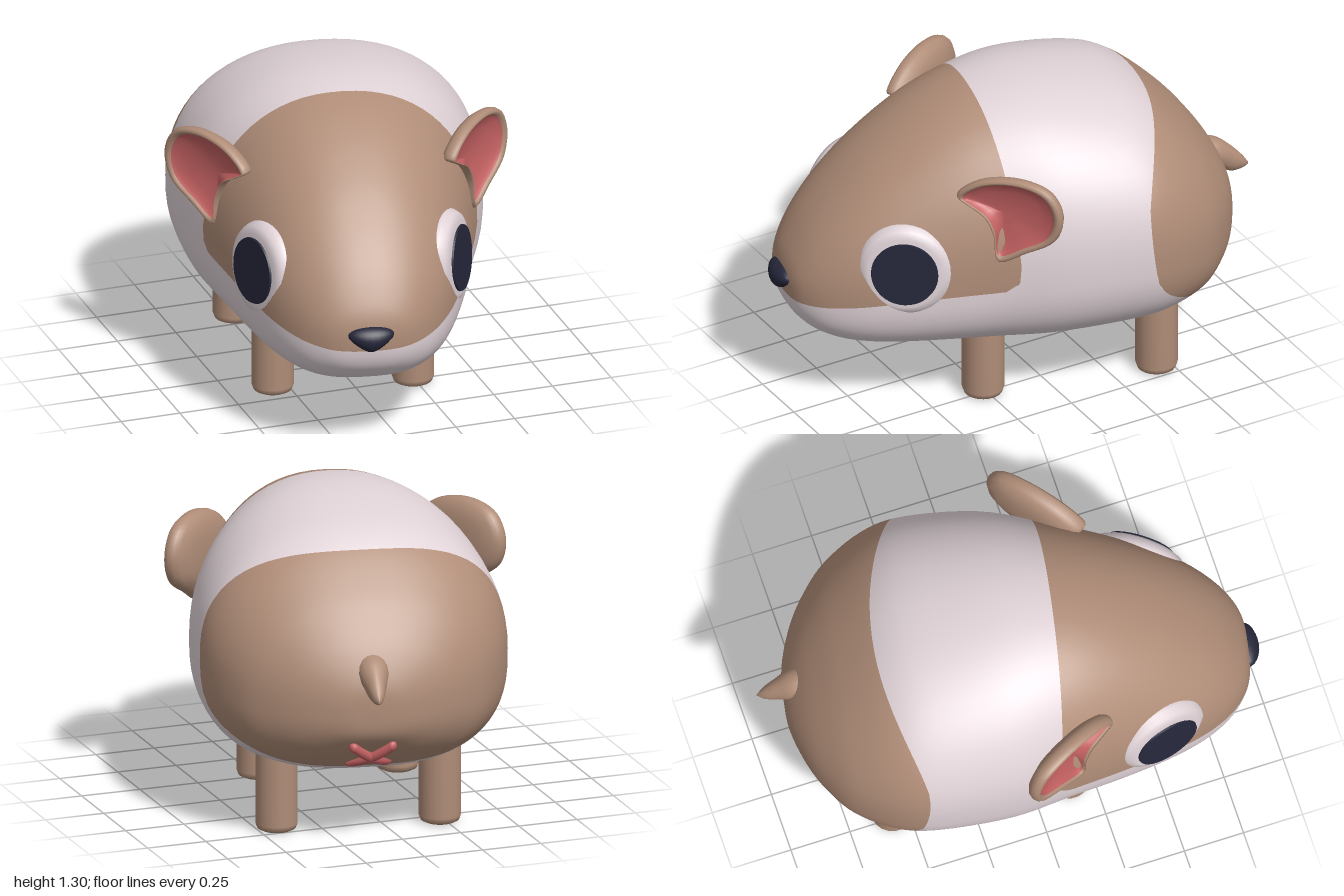
import * as THREE from 'three';
import { mergeVertices } from 'three/addons/utils/BufferGeometryUtils.js';

const mat = (name, color) => Object.assign(new THREE.MeshStandardMaterial({ color }), { name });

// Smooth surface from a point rule at(u, v), u along the part, v around it
function surface(rows, cols, at) {
  const pos = [], index = [];
  for (let i = 0; i <= rows; i++)
    for (let j = 0; j <= cols; j++) pos.push(...at(i / rows, (j % cols) / cols));
  for (let i = 0; i < rows; i++)
    for (let j = 0; j < cols; j++) {
      const a = i * (cols + 1) + j, b = a + cols + 1;
      index.push(a, a + 1, b, a + 1, b + 1, b);
    }
  let geo = new THREE.BufferGeometry();
  geo.setAttribute('position', new THREE.Float32BufferAttribute(pos, 3));
  geo.setIndex(index);
  geo = mergeVertices(geo, 1e-5);
  geo.computeVertexNormals();
  return geo;
}

// Loft through cross-sections [z, half width, top, widest height, bottom], rear to front
function loft(sections, rows, cols, upper, lower) {
  const V = (x, y, z) => new THREE.Vector3(x, y, z);
  const A = new THREE.CatmullRomCurve3(sections.map(s => V(s[0], s[1], s[3])), false, 'catmullrom');
  const B = new THREE.CatmullRomCurve3(sections.map(s => V(s[2], s[4], 0)), false, 'catmullrom');
  const pow = (c, n) => Math.sign(c) * Math.pow(Math.abs(c), 2 / n);
  return surface(rows, cols, (u, v) => {
    const a = A.getPoint(u), b = B.getPoint(u), t = v * Math.PI * 2;
    const c = Math.cos(t), s = Math.sin(t), n = s > 0 ? upper : lower;
    const h = s > 0 ? b.x - a.z : a.z - b.y;
    return [a.y * pow(c, n), a.z + h * pow(s, n), a.x];
  });
}

// Cut triangles along field = 0, giving group 0 (below) and group 1 (above)
function splitByField(geo, field) {
  const P = geo.attributes.position, N = geo.attributes.normal, I = geo.index;
  const vert = k => {
    const p = new THREE.Vector3().fromBufferAttribute(P, k);
    return { p, n: new THREE.Vector3().fromBufferAttribute(N, k), f: field(p) };
  };
  const mix = (a, b) => {
    const t = a.f / (a.f - b.f);
    return { p: a.p.clone().lerp(b.p, t), n: a.n.clone().lerp(b.n, t).normalize() };
  };
  const out = [[], []];
  for (let i = 0; i < I.count; i += 3) {
    const tri = [0, 1, 2].map(k => vert(I.getX(i + k)));
    for (const side of [0, 1]) {
      const keep = v => (v.f > 0) === (side === 1), poly = [];
      tri.forEach((a, k) => {
        const b = tri[(k + 1) % 3];
        if (keep(a)) poly.push(a);
        if (keep(a) !== keep(b)) poly.push(mix(a, b));
      });
      for (let k = 1; k + 1 < poly.length; k++) out[side].push(poly[0], poly[k], poly[k + 1]);
    }
  }
  const all = out[0].concat(out[1]), res = new THREE.BufferGeometry();
  res.setAttribute('position', new THREE.Float32BufferAttribute(all.flatMap(v => v.p.toArray()), 3));
  res.setAttribute('normal', new THREE.Float32BufferAttribute(all.flatMap(v => v.n.toArray()), 3));
  res.addGroup(0, out[0].length, 0);
  res.addGroup(out[0].length, out[1].length, 1);
  return res;
}

// Both conditions met, with a rounded corner of radius r
const both = (a, b, r) => (a < r && b < r ? r - Math.hypot(r - a, r - b) : Math.min(a, b));

// Positive inside the face patch and the rump patch
function furPatches({ x, y, z }) {
  const face = both(z - 0.09 - 0.07 * y, y - 0.61 + 0.13 * z * z, 0.08);
  const edge = -0.55 + 0.44 * x * x - 0.12 * Math.max(0, 0.9 - y);
  const rump = both(edge - z, y - 0.5 - 0.7 * (z + 0.45), 0.06);
  return Math.max(face, rump);
}

export function createModel() {
  const cream = mat('cream fur', 0xe0d3d7), brown = mat('brown fur', 0xb08d78);
  const pink = mat('pink skin', 0xc46162), dark = mat('dark navy', 0x25273a);
  const model = new THREE.Group();
  model.name = 'smallAnimal';
  const animal = new THREE.Group();
  animal.name = 'animal';
  animal.rotation.y = -0.19;
  model.add(animal);
  const add = (name, geo, material, parent = animal) => {
    const m = new THREE.Mesh(geo, material);
    m.name = name;
    parent.add(m);
    return m;
  };

  // Body and head in one form
  const body = loft([
    [-0.91, 0, 0.6, 0.6, 0.6], [-0.9, 0.13, 0.7, 0.6, 0.5], [-0.85, 0.28, 0.82, 0.61, 0.43],
    [-0.78, 0.4, 0.93, 0.62, 0.36], [-0.68, 0.51, 1.05, 0.64, 0.295], [-0.52, 0.6, 1.19, 0.67, 0.255],
    [-0.35, 0.63, 1.26, 0.69, 0.24], [-0.05, 0.61, 1.3, 0.68, 0.235], [0.2, 0.54, 1.275, 0.64, 0.245],
    [0.4, 0.485, 1.2, 0.6, 0.255], [0.6, 0.42, 1.07, 0.57, 0.265], [0.75, 0.355, 0.935, 0.55, 0.285],
    [0.86, 0.28, 0.81, 0.53, 0.325], [0.93, 0.2, 0.7, 0.53, 0.38], [0.965, 0.12, 0.62, 0.53, 0.44],
    [0.98, 0, 0.53, 0.53, 0.53],
  ], 75, 72, 2.2, 2.7);
  add('body', splitByField(body, furPatches), [cream, brown]);

  // Tail, tip to base
  add('tail', loft([
    [-1.017, 0, 0.67, 0.665, 0.66], [-0.99, 0.022, 0.71, 0.68, 0.65], [-0.94, 0.04, 0.765, 0.71, 0.647],
    [-0.88, 0.06, 0.81, 0.75, 0.68], [-0.8, 0.06, 0.83, 0.78, 0.73],
  ], 16, 16, 2, 2), brown);

  // Nose: a ball narrowed towards its lower point
  const nose = new THREE.SphereGeometry(1, 24, 16), np = nose.attributes.position;
  for (let i = 0; i < np.count; i++) {
    const y = np.getY(i);
    np.setX(i, np.getX(i) * (y < 0.3 ? 0.45 + 0.55 * Math.pow((y + 1) / 1.3, 1.2) : 1 + 0.35 * (y - 0.3)));
  }
  nose.scale(0.1, 0.055, 0.055);
  nose.computeVertexNormals();
  add('nose', nose, dark).position.set(0, 0.537, 0.963);

  // Legs
  const v2 = pts => pts.map(p => new THREE.Vector2(...p));
  const legGeo = new THREE.LatheGeometry(v2([[0, 0], [0.062, 0], [0.078, 0.008], [0.086, 0.03], [0.086, 0.4]]), 20);
  for (const s of [1, -1]) {
    add('frontLeg', legGeo, brown).position.set(s * 0.285, 0, 0.21);
    add('backLeg', legGeo, brown).position.set(s * 0.333, 0, -0.511);
  }

  // Eyes: domed disc with a thin pupil plate
  const eyeGeo = new THREE.LatheGeometry(
    v2([[0.19, -0.07], [0.2, -0.02], [0.197, 0.005], [0.18, 0.032], [0.15, 0.046], [0, 0.052]]), 40).rotateX(Math.PI / 2);
  const pupilGeo = new THREE.CylinderGeometry(0.134, 0.136, 0.008, 40).rotateX(Math.PI / 2);
  for (const s of [1, -1]) {
    const eye = new THREE.Group();
    eye.name = s > 0 ? 'leftEye' : 'rightEye';
    eye.position.set(s * 0.378, 0.697, 0.572);
    eye.rotation.set(-0.08, s * 1.15, 0, 'YXZ');
    animal.add(eye);
    add('eyeWhite', eyeGeo, cream, eye);
    add('pupil', pupilGeo, dark, eye).position.z = 0.053;
  }

  // Ears: leaf outline scaled into a rounded back, a rim and a pink hollow
  const outline = new THREE.CatmullRomCurve3([
    [0.23, 0.05], [0.18, 0.15], [0.05, 0.19], [-0.12, 0.16], [-0.22, 0.08], [-0.18, 0.05],
    [-0.1, 0], [-0.06, -0.08], [-0.04, -0.2], [0.08, -0.14], [0.2, -0.06],
  ].map(p => new THREE.Vector3(...p, 0)), true);
  const earPart = (s, rings) => surface(rings.length - 1, 56, (u, v) => {
    const [k, z] = rings[Math.round(u * (rings.length - 1))];
    const p = outline.getPoint(s > 0 ? v : (1 - v) % 1);
    return [s * (-0.03 + (p.x + 0.03) * k), 0.01 + (p.y - 0.01) * k, z];
  });
  for (const s of [1, -1]) {
    const ear = new THREE.Group();
    ear.name = s > 0 ? 'leftEar' : 'rightEar';
    ear.position.set(s * 0.534, 0.95, 0.182);
    ear.rotation.y = s * 0.908;
    animal.add(ear);
    add('earShell', earPart(s, [[0, -0.055], [0.4, -0.053], [0.7, -0.046], [0.9, -0.028], [0.98, -0.008],
      [1, 0.012], [0.98, 0.03], [0.94, 0.038], [0.89, 0.034], [0.86, 0.026]]), brown, ear);
    add('earHollow', earPart(s, [[0.87, 0.028], [0.8, 0.014], [0.6, 0.0], [0.3, -0.01], [0, -0.013]]), pink, ear);
  }

  // Crossed mark under the tail, bent to follow the body
  const bar = new THREE.CapsuleGeometry(0.02, 0.22, 6, 12, 8), bp = bar.attributes.position;
  for (let i = 0; i < bp.count; i++) bp.setZ(i, bp.getZ(i) - 1.2 * bp.getY(i) ** 2);
  bar.computeVertexNormals();
  const cross = new THREE.Group();
  cross.name = 'rearCross';
  cross.position.set(0, 0.375, -0.812);
  cross.rotation.x = 2.24;
  animal.add(cross);
  for (const s of [1, -1]) add('crossBar', bar, pink, cross).rotation.z = s * Math.PI / 4;

  return model;
}
